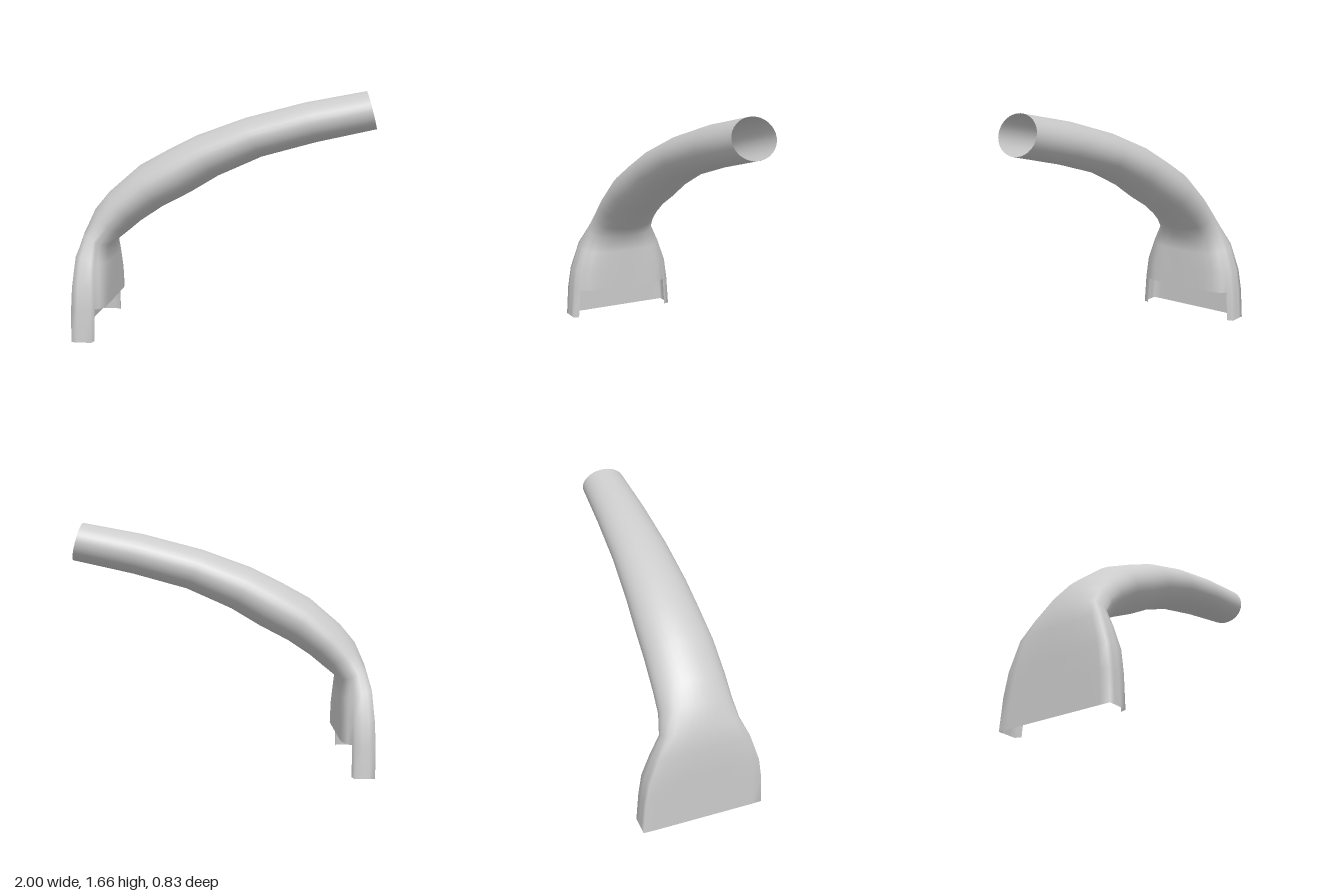
import * as THREE from 'three';

// Half outline of the flat mouth: [depth, width] from back centre to front centre
const MOUTH = [
  [-1, 0], [-1, 0.2], [-1, 0.42], [-1, 0.63], [-1, 0.83], [-0.98, 1],
  [-0.6, 1], [-0.15, 1], [0.3, 1], [0.43, 0.9], [0.7, 0.85], [0.85, 0.77],
  [0.97, 0.68], [1, 0.5], [1, 0.35], [1, 0.18], [1, 0],
];
const HALF = MOUTH.length - 1;
const SIDES = HALF * 2;
const CUT = 9; // front faces from this index on are left out of the lowest row

// Cross-sections: outer x, y, inner x, y, half width, roundness
const SECTIONS = [
  [-1, 0, -0.79, 0, 0.413, 0],
  [-1, 0.215, -0.79, 0.215, 0.398, 0],
  [-1, 0.37, -0.79, 0.37, 0.378, 0.08],
  [-1, 0.57, -0.79, 0.5, 0.325, 0.35],
  [-0.97, 0.71, -0.79, 0.61, 0.265, 0.7],
  [-0.91, 0.85, -0.69, 0.69, 0.242, 0.95],
  [-0.81, 0.97, -0.6, 0.765, 0.238, 1],
  [-0.6, 1.15, -0.45, 0.865, 0.232, 1],
  [-0.4, 1.26, -0.25, 0.97, 0.222, 1],
  [-0.2, 1.36, -0.06, 1.085, 0.21, 1],
  [0.13, 1.48, 0.24, 1.22, 0.192, 1],
  [0.53, 1.585, 0.6, 1.32, 0.174, 1],
  [0.93, 1.66, 1, 1.41, 0.155, 1],
];

// Point on the unit outline, blended from the flat mouth to a circle
function outline(j, round) {
  const mirrored = j > HALF;
  const k = mirrored ? SIDES - j : j;
  const a = (k / HALF) * Math.PI;
  const u = THREE.MathUtils.lerp(MOUTH[k][0], -Math.cos(a), round);
  const v = THREE.MathUtils.lerp(MOUTH[k][1], Math.sin(a), round);
  return [u, mirrored ? -v : v];
}

function nozzleGeometry() {
  const positions = [];
  const index = [];
  for (const [bx, by, fx, fy, width, round] of SECTIONS) {
    for (let j = 0; j < SIDES; j++) {
      const [u, v] = outline(j, round);
      const t = (u + 1) / 2;
      positions.push(bx + (fx - bx) * t, by + (fy - by) * t, v * width);
    }
  }
  for (let i = 0; i < SECTIONS.length - 1; i++) {
    for (let j = 0; j < SIDES; j++) {
      // Opening at the front of the mouth
      if (i === 0 && j >= CUT && j < SIDES - CUT) continue;
      const n = (j + 1) % SIDES;
      const a = i * SIDES + j, b = i * SIDES + n;
      const c = b + SIDES, d = a + SIDES;
      index.push(a, b, c, a, c, d);
    }
  }
  const geometry = new THREE.BufferGeometry();
  geometry.setAttribute('position', new THREE.Float32BufferAttribute(positions, 3));
  geometry.setIndex(index);
  geometry.computeVertexNormals();
  return geometry;
}

export function createModel() {
  const group = new THREE.Group();
  group.name = 'curvedNozzle';
  // Open thin shell, seen from inside and outside
  const material = new THREE.MeshStandardMaterial({ color: 0xcccccc, side: THREE.DoubleSide });
  const shell = new THREE.Mesh(nozzleGeometry(), material);
  shell.name = 'nozzleShell';
  group.add(shell);
  return group;
}
